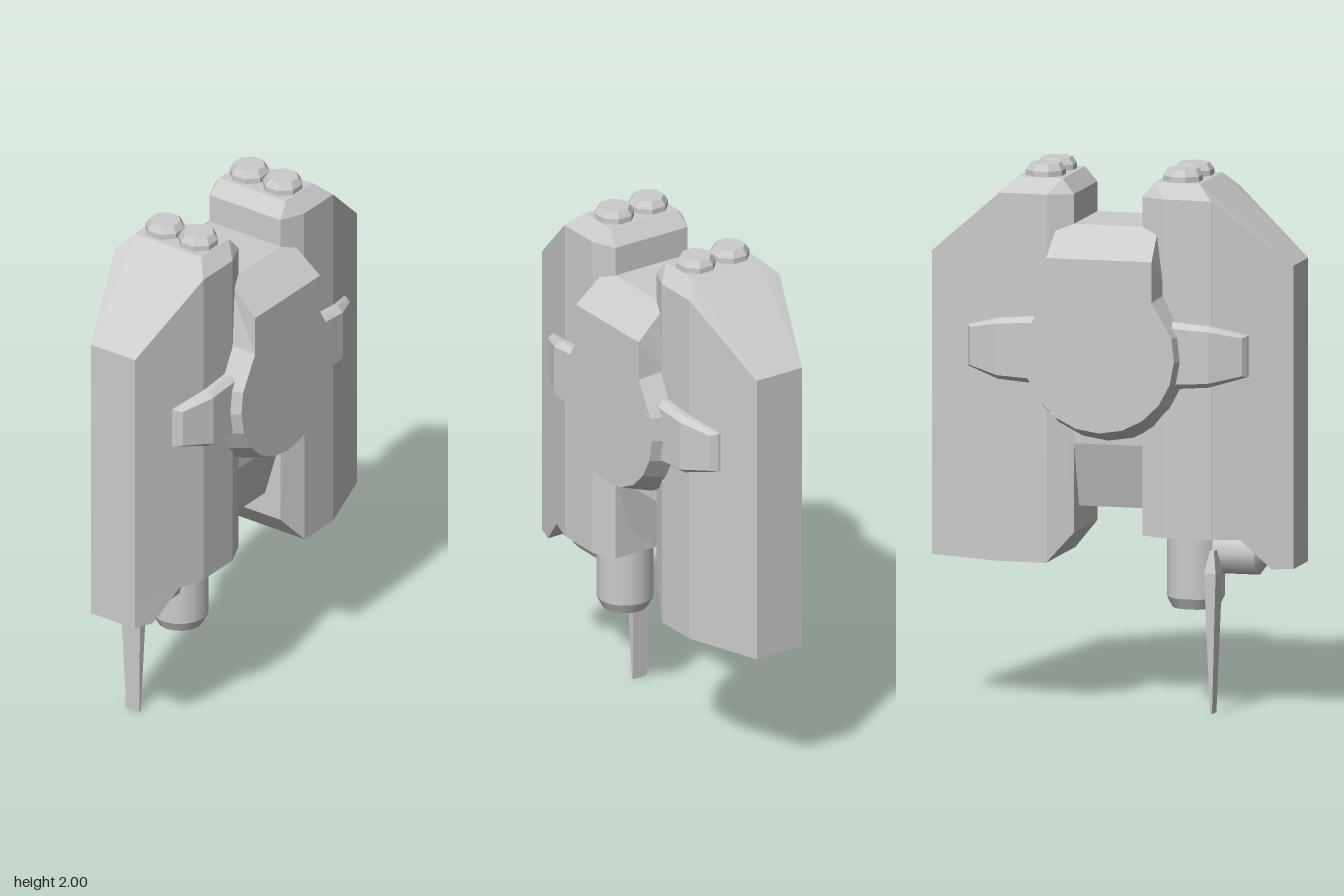
import * as THREE from 'three';
import { ConvexGeometry } from 'three/addons/geometries/ConvexGeometry.js';

const material = new THREE.MeshStandardMaterial({ color: 0xcccccc });
const flat = new THREE.MeshStandardMaterial({ color: 0xcccccc, flatShading: true });

function add(parent, name, geometry, x = 0, y = 0, z = 0, mat = flat) {
  const mesh = new THREE.Mesh(geometry, mat);
  mesh.name = name;
  mesh.position.set(x, y, z);
  parent.add(mesh);
  return mesh;
}

// Convex solid from [x, y, halfDepth] points mirrored in z
function slab(points) {
  return new ConvexGeometry(points.flatMap(([x, y, d]) =>
    [new THREE.Vector3(x, y, d), new THREE.Vector3(x, y, -d)]));
}

// Solid through matching counter-clockwise xy outlines, listed from back to front
function loft(sections) {
  const n = sections[0].outline.length;
  const pos = [], index = [];
  sections.forEach(({ outline, z }) => outline.forEach((p) => pos.push(p.x, p.y, z)));
  for (let s = 0; s < sections.length - 1; s++) {
    for (let i = 0; i < n; i++) {
      const a = s * n + i, b = s * n + (i + 1) % n;
      index.push(a, b, b + n, a, b + n, a + n);
    }
  }
  const last = (sections.length - 1) * n;
  THREE.ShapeUtils.triangulateShape(sections[0].outline, []).forEach(([a, b, c]) => {
    index.push(a, c, b, last + a, last + b, last + c);
  });
  const g = new THREE.BufferGeometry();
  g.setAttribute('position', new THREE.Float32BufferAttribute(pos, 3));
  g.setIndex(index);
  const result = g.toNonIndexed();
  result.computeVertexNormals();
  return result;
}

// Keyhole outline: round bowl with a square neck above it
function keyhole(cy, r, neck, shoulder, top, topHalf) {
  const pts = [[topHalf, top], [-topHalf, top], [-neck, shoulder]];
  const steps = 12, start = Math.PI - 0.27, end = 2 * Math.PI + 0.27;
  for (let i = 0; i <= steps; i++) {
    const t = start + (end - start) * i / steps;
    pts.push([r * Math.cos(t), cy + r * Math.sin(t)]);
  }
  pts.push([neck, shoulder]);
  return pts.map(([x, y]) => new THREE.Vector2(x, y));
}

export function createModel() {
  const model = new THREE.Group();
  model.name = 'twinPodCraft';

  // Upper pod outline shared by both sides
  const podTop = (s) => [
    [0.175 * s, 1.955, 0.15], [0.345 * s, 1.955, 0.15],
    [0.13 * s, 1.9, 0.16], [0.22 * s, 1.9, 0.2], [0.4 * s, 1.9, 0.2],
    [0.685 * s, 1.66, 0.1],
  ];

  // Left pod with a chamfered inner foot
  add(model, 'leftPod', slab([...podTop(1),
    [0.13, 0.65, 0.16], [0.225, 0.54, 0.2], [0.4, 0.54, 0.2], [0.685, 0.54, 0.1]]));

  // Right pod is cut short, with a wedge left on its outer edge
  add(model, 'rightPod', slab([...podTop(-1),
    [-0.13, 0.65, 0.16], [-0.22, 0.65, 0.2], [-0.4, 0.65, 0.2], [-0.685, 0.65, 0.1]]));
  add(model, 'rightPodFoot', slab([
    [-0.5, 0.65, 0.165], [-0.61, 0.54, 0.127], [-0.685, 0.54, 0.1], [-0.685, 0.65, 0.1]]));

  // Pairs of bevelled octagonal knobs on the pods
  for (const s of [-1, 1]) {
    for (const z of [-0.075, 0.075]) {
      const knob = new THREE.Group();
      knob.name = 'topKnob';
      knob.position.set(0.26 * s, 1.94, z);
      knob.rotation.y = Math.PI / 8;
      add(knob, 'knobBase', new THREE.CylinderGeometry(0.074, 0.074, 0.035, 8), 0, 0.0175);
      add(knob, 'knobCap', new THREE.CylinderGeometry(0.058, 0.074, 0.025, 8), 0, 0.0475);
      model.add(knob);
    }
  }

  // Central spine, thinner towards the bottom
  add(model, 'spine', slab([-0.135, 0.135].flatMap((x) =>
    [[x, 1.79, 0.16], [x, 0.98, 0.16], [x, 0.74, 0.09]])));

  // Keyhole hub running through front and back, bevelled to both faces
  const face = keyhole(1.325, 0.285, 0.2, 1.53, 1.68, 0.2);
  const base = keyhole(1.31, 0.315, 0.225, 1.55, 1.79, 0.19);
  add(model, 'hub', loft([
    { outline: face, z: -0.288 }, { outline: base, z: -0.16 },
    { outline: base, z: 0.16 }, { outline: face, z: 0.288 }]));

  // Four stub arms beside the hub
  for (const s of [-1, 1]) {
    for (const f of [-1, 1]) {
      const pts = [];
      // x, half height, inner depth, outer depth, outer half height
      for (const [x, h, z0, z1, h1] of [
        [0.24, 0.125, 0.15, 0.245, 0.105],
        [0.4, 0.112, 0.15, 0.245, 0.095],
        [0.53, 0.076, 0.15, 0.165, 0.076],
        [0.515, 0.076, 0.15, 0.192, 0.07],
      ]) {
        for (const v of [-1, 1]) {
          pts.push(new THREE.Vector3(x * s, 1.328 + v * h, z0 * f));
          pts.push(new THREE.Vector3(x * s, 1.328 + v * h, (z1 * 0.75 + z0 * 0.25) * f));
          pts.push(new THREE.Vector3(x * s, 1.328 + v * h1, z1 * f));
        }
      }
      add(model, 'stubArm', new ConvexGeometry(pts));
    }
  }

  // Barrel under the right pod
  const barrel = new THREE.Group();
  barrel.name = 'barrel';
  barrel.position.set(-0.285, 0, 0.01);
  add(barrel, 'barrelBody', new THREE.CylinderGeometry(0.106, 0.106, 0.27, 16), 0, 0.545, 0, material);
  add(barrel, 'barrelTip', new THREE.CylinderGeometry(0.106, 0.085, 0.04, 16), 0, 0.39, 0, material);
  model.add(barrel);

  // Tapered side tank lying across the barrel
  const tank = new THREE.Group();
  tank.name = 'sideTank';
  tank.position.set(-0.37, 0.58, 0);
  tank.rotation.z = Math.PI / 2;
  add(tank, 'tankBody', new THREE.CylinderGeometry(0.082, 0.082, 0.16, 12), 0, 0.08, 0, material);
  add(tank, 'tankEnd', new THREE.CylinderGeometry(0.03, 0.082, 0.04, 12), 0, 0.18, 0, material);
  model.add(tank);

  // Long thin blade
  const blade = [];
  for (const [y, hx, hz] of [[0.6, 0.008, 0.02], [0.52, 0.022, 0.046], [0, 0.004, 0.03]]) {
    for (const a of [-1, 1]) {
      for (const b of [-1, 1]) blade.push(new THREE.Vector3(-0.388 + a * hx, y, -0.125 + b * hz));
    }
  }
  add(model, 'blade', new ConvexGeometry(blade));

  return model;
}
